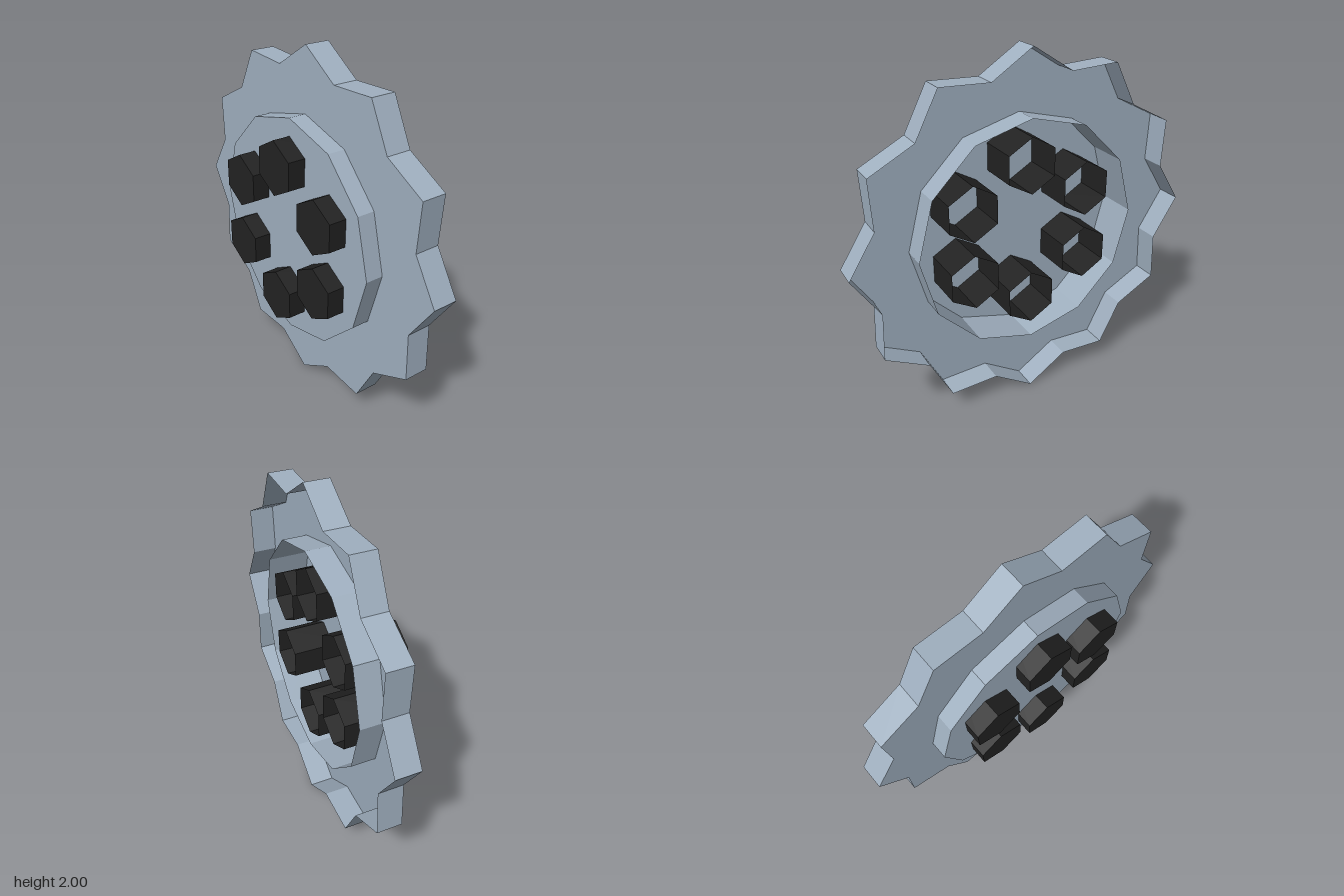
import * as THREE from 'three';
import { mergeGeometries } from 'three/addons/utils/BufferGeometryUtils.js';

const BACK = -0.17; // every shell is open at this depth

// Closed outline with a vertex at the top; radii alternate through the list
function outline(count, radii) {
  return Array.from({ length: count }, (_, i) => {
    const a = Math.PI / 2 + (i / count) * Math.PI * 2;
    const r = radii[i % radii.length];
    return new THREE.Vector2(r * Math.cos(a), r * Math.sin(a));
  });
}

// Open-backed shell: a front face at z = front and straight walls to the back
function shell(points, front, hole) {
  const shape = new THREE.Shape(points);
  if (hole) shape.holes.push(new THREE.Path(hole));
  const face = new THREE.ShapeGeometry(shape).toNonIndexed();
  face.translate(0, 0, front);
  face.deleteAttribute('uv');

  const pos = [];
  points.forEach((p, i) => {
    const q = points[(i + 1) % points.length];
    pos.push(p.x, p.y, BACK, q.x, q.y, BACK, q.x, q.y, front);
    pos.push(p.x, p.y, BACK, q.x, q.y, front, p.x, p.y, front);
  });
  const walls = new THREE.BufferGeometry();
  walls.setAttribute('position', new THREE.Float32BufferAttribute(pos, 3));
  walls.computeVertexNormals();
  return mergeGeometries([face, walls]);
}

export function createModel() {
  const model = new THREE.Group();
  model.name = 'toothedDisc';

  const steel = new THREE.MeshStandardMaterial({ color: 0xa0b0c0, side: THREE.DoubleSide, flatShading: true });
  steel.name = 'blue grey steel';
  const black = new THREE.MeshStandardMaterial({ color: 0x222222, side: THREE.DoubleSide, flatShading: true });
  black.name = 'black';

  const add = (name, geometry, material, x = 0, y = 0) => {
    const mesh = new THREE.Mesh(geometry, material);
    mesh.name = name;
    mesh.position.set(x, 1 + y, 0);
    model.add(mesh);
  };

  // Twelve-toothed ring and the raised twelve-sided hub inside it
  const hub = outline(12, [0.645]);
  add('toothedRing', shell(outline(24, [1, 0.884]), -0.03, hub), steel);
  add('hub', shell(hub, 0.07), steel);

  // Six hexagonal studs running through the hub plate
  const stud = shell(outline(6, [0.156]), 0.17);
  for (let i = 0; i < 6; i++) {
    const a = Math.PI / 2 + (i * Math.PI) / 3;
    add('stud' + (i + 1), stud, black, 0.392 * Math.cos(a), 0.392 * Math.sin(a));
  }
  return model;
}
